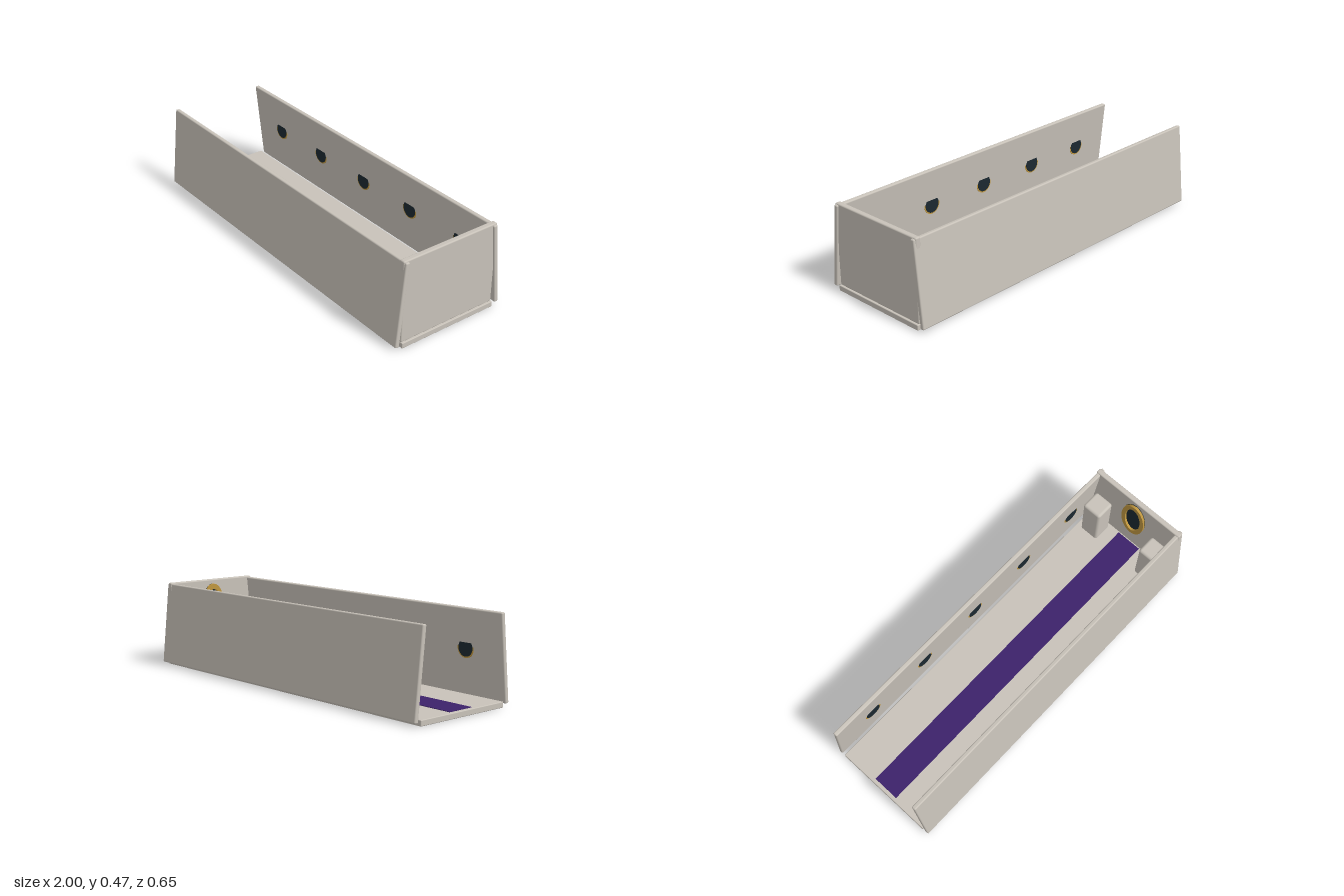
import * as THREE from 'three';
import { RoundedBoxGeometry } from 'three/addons/geometries/RoundedBoxGeometry.js';

export function createModel() {
  const model = new THREE.Group();
  model.name = 'corridor';

  const material = (name, color) => {
    const m = new THREE.MeshStandardMaterial({ color });
    m.name = name;
    return m;
  };
  const stone = material('pale stone', 0xc8c2b9);
  const purple = material('purple carpet', 0x3c226a);
  const gold = material('gold trim', 0xbf9640);
  const glass = material('dark glass', 0x1b2830);

  const add = (name, geometry, mat, x, y, z) => {
    const mesh = new THREE.Mesh(geometry, mat);
    mesh.name = name;
    mesh.position.set(x, y, z);
    model.add(mesh);
    return mesh;
  };
  const block = (w, h, d, r = 0.007) => new RoundedBoxGeometry(w, h, d, 3, r);

  // Floor, carpet runner and end wall
  add('floor', block(2, 0.03, 0.572, 0.004), stone, 0, 0.015, 0);
  add('carpet', new THREE.BoxGeometry(1.935, 0.004, 0.15), purple, -0.0125, 0.031, 0);
  add('endWall', block(0.03, 0.442, 0.572), stone, 0.975, 0.249, 0);

  // Discs facing z for the windows
  const rimGeo = new THREE.CylinderGeometry(0.052, 0.052, 0.012, 32).rotateX(Math.PI / 2);
  const paneGeo = new THREE.CylinderGeometry(0.045, 0.045, 0.014, 32).rotateX(Math.PI / 2);

  for (const side of [1, -1]) {
    // Side wall leaning inward
    const wall = add('sideWall', block(2, 0.45, 0.024), stone, 0, 0.24, side * 0.292);
    wall.rotation.x = -side * 0.102;

    // Upright round windows, their tops sunk into the leaning wall
    for (let i = -2; i <= 2; i++) {
      add('windowRim', rimGeo, gold, i * 0.38, 0.262, side * 0.283);
      add('windowPane', paneGeo, glass, i * 0.38, 0.262, side * 0.282);
    }

    // Pedestal beside the carpet
    add('pedestal', block(0.112, 0.28, 0.115, 0.015), stone, 0.89, 0.165, side * 0.198);
  }

  // Tall oval portal on the end wall: dark backing with a raised gold ring
  const oval = (shape, ry, rz) => shape.absellipse(0, 0, rz, ry, 0, Math.PI * 2, false, 0);
  const ring = oval(new THREE.Shape(), 0.14, 0.075);
  ring.holes.push(oval(new THREE.Path(), 0.11, 0.05));
  const ringGeo = new THREE.ExtrudeGeometry(ring, { depth: 0.014, bevelEnabled: false, curveSegments: 32 });
  ringGeo.rotateY(-Math.PI / 2);
  add('portalRing', ringGeo, gold, 0.957, 0.305, 0);

  const backing = oval(new THREE.Shape(), 0.14, 0.075);
  const backGeo = new THREE.ExtrudeGeometry(backing, { depth: 0.008, bevelEnabled: false, curveSegments: 32 });
  backGeo.rotateY(-Math.PI / 2);
  add('portalPane', backGeo, glass, 0.964, 0.305, 0);

  return model;
}
